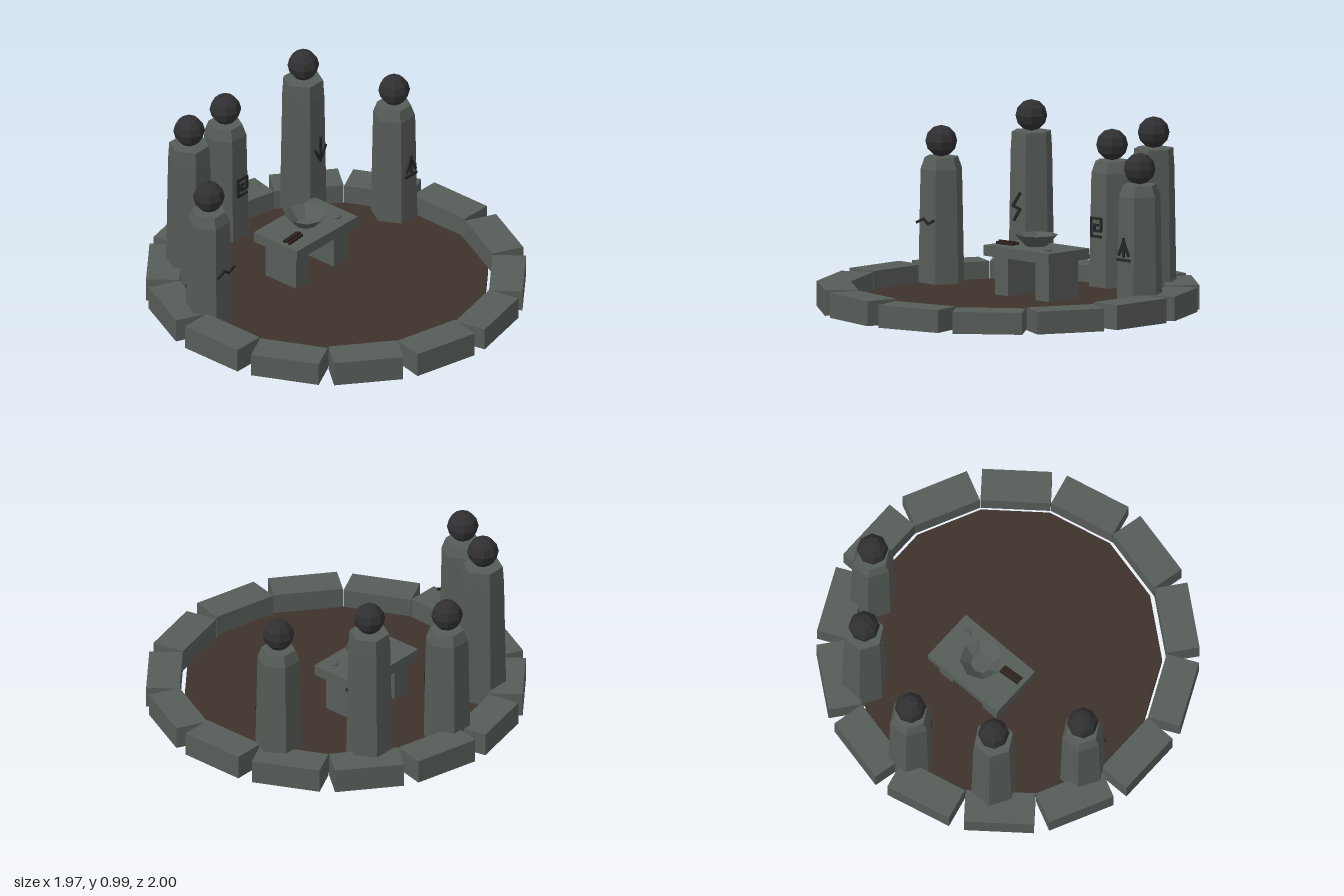
import * as THREE from 'three';

export function createModel() {
  const model = new THREE.Group();
  model.name = 'stoneCircle';

  const mat = (name, color, side = THREE.FrontSide) => {
    const m = new THREE.MeshStandardMaterial({ color, side, flatShading: true });
    m.name = name;
    return m;
  };
  const stone = mat('stone', 0x565c58, THREE.DoubleSide);
  const earth = mat('earth', 0x3d332b, THREE.DoubleSide);
  const darkStone = mat('darkStone', 0x303032);
  const carving = mat('carving', 0x222624);
  const wood = mat('wood', 0x2b211a);

  const add = (parent, name, geo, material, x = 0, y = 0, z = 0) => {
    const mesh = new THREE.Mesh(geo, material);
    mesh.name = name;
    mesh.position.set(x, y, z);
    parent.add(mesh);
    return mesh;
  };

  // Earth floor: a hollow fourteen-sided tray, open underneath
  const SIDES = 14, FLOOR = 0.04;
  const floor = new THREE.LatheGeometry(
    [[0.805, 0], [0.805, FLOOR], [0, FLOOR]].map(p => new THREE.Vector2(...p)), SIDES);
  add(model, 'earthFloor', floor, earth);

  // Ring of kerb stones with slightly uneven tops
  const heights = [0.13, 0.12, 0.115, 0.12, 0.132, 0.134, 0.125, 0.13, 0.128, 0.13, 0.125, 0.13, 0.13, 0.128];
  const ring = new THREE.Group();
  ring.name = 'kerbRing';
  model.add(ring);
  heights.forEach((h, i) => {
    const a = (i / SIDES) * Math.PI * 2;
    const block = add(ring, 'kerbStone', new THREE.BoxGeometry(0.175, h, 0.366), stone,
      Math.cos(a) * 0.896, h / 2, Math.sin(a) * 0.896);
    block.rotation.y = -a;
  });

  // Carved strokes: thin bars joining the points of each line
  const carve = (parent, lines, z) => {
    for (const line of lines) {
      for (let i = 1; i < line.length; i++) {
        const [x0, y0] = line[i - 1], [x1, y1] = line[i];
        const bar = add(parent, 'carvedStroke',
          new THREE.BoxGeometry(Math.hypot(x1 - x0, y1 - y0) + 0.008, 0.013, 0.009), carving,
          (x0 + x1) / 2, (y0 + y1) / 2, z);
        bar.rotation.z = Math.atan2(y1 - y0, x1 - x0);
      }
    }
  };

  const wave = [[[-0.06, 0.36], [-0.012, 0.382], [0.02, 0.357], [0.062, 0.378]]];
  const zigzag = [[[0.035, 0.51], [-0.018, 0.44], [0.034, 0.426], [-0.008, 0.367]]];
  const spiral = [[[0.012, 0.37], [-0.012, 0.37], [-0.012, 0.34], [0.035, 0.34],
    [0.035, 0.405], [-0.035, 0.405], [-0.035, 0.31], [0.035, 0.31]]];
  const fork = [[[0, 0.51], [0, 0.37]], [[-0.042, 0.45], [0, 0.377], [0.042, 0.45]]];
  const tent = [[[0, 0.425], [0, 0.33]], [[-0.035, 0.338], [0, 0.41], [0.035, 0.338]],
    [[-0.042, 0.312], [0.042, 0.312]]];

  // Hexagonal pillars: x, z, shoulder height, top height, top radius, carving
  const pillars = [
    [-0.73, -0.24, 0.64, 0.70, 0.09, wave],
    [-0.45, -0.625, 0.73, 0.825, 0.106, zigzag],
    [0, -0.77, 0.64, 0.70, 0.09, spiral],
    [0.45, -0.625, 0.73, 0.825, 0.106, fork],
    [0.73, -0.24, 0.64, 0.70, 0.09, tent],
  ];
  for (const [x, z, shoulder, top, topR, lines] of pillars) {
    const pillar = new THREE.Group();
    pillar.name = 'pillar';
    pillar.position.set(x, 0, z);
    model.add(pillar);
    const profile = [[0, 0], [0.125, 0], [0.112, shoulder], [topR, top], [0, top]];
    const body = add(pillar, 'pillarBody',
      new THREE.LatheGeometry(profile.map(p => new THREE.Vector2(...p)), 6), stone);
    body.rotation.y = Math.PI / 6;
    add(pillar, 'pillarBall', new THREE.SphereGeometry(0.083, 8, 6), darkStone, 0, top + 0.083, 0);
    carve(pillar, lines, 0.119);
  }

  // Altar table
  const altar = new THREE.Group();
  altar.name = 'altar';
  altar.position.z = -0.21;
  model.add(altar);
  add(altar, 'altarSlab', new THREE.BoxGeometry(0.48, 0.056, 0.3), stone, 0, 0.273, 0);
  for (const s of [-1, 1]) {
    add(altar, 'altarLeg', new THREE.BoxGeometry(0.096, 0.246, 0.215), stone, s * 0.15, 0.123, 0);
  }

  // Open bowl
  const bowl = [[0, 0.306], [0.055, 0.306], [0.113, 0.366]].map(p => new THREE.Vector2(...p));
  add(altar, 'bowl', new THREE.LatheGeometry(bowl, 8), stone);

  // Bundle of sticks and a pebble
  for (let i = 0; i < 3; i++) {
    const stick = add(altar, 'stick', new THREE.BoxGeometry(0.115, 0.014, 0.013), wood,
      -0.16, 0.309 + (i === 1 ? 0.006 : 0), 0.037 + i * 0.016);
    stick.rotation.y = 0.08;
  }
  const pebble = add(altar, 'pebble', new THREE.IcosahedronGeometry(0.024, 0), stone, 0.162, 0.307, 0.075);
  pebble.scale.y = 0.5;

  return model;
}
